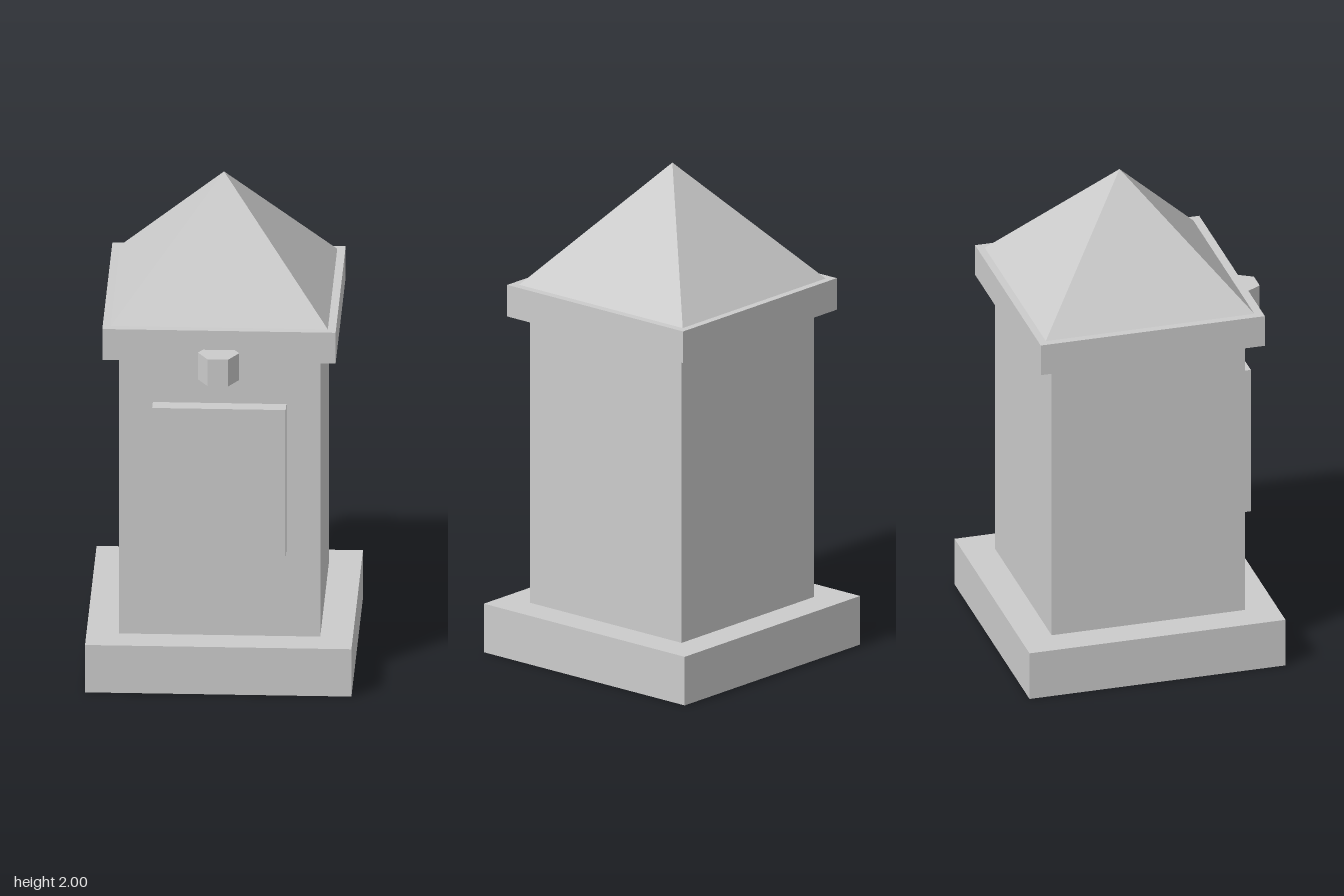
import * as THREE from 'three';

export function createModel() {
  const group = new THREE.Group();
  const material = new THREE.MeshStandardMaterial({ color: 0xcccccc, flatShading: true });
  const axisZ = -0.018; // centre line of the pillar

  const add = (name, geometry, x, y, z) => {
    const mesh = new THREE.Mesh(geometry, material);
    mesh.name = name;
    mesh.position.set(x, y, z);
    group.add(mesh);
    return mesh;
  };

  // Square slab centred on the pillar, from y0 to y1
  const slab = (name, width, y0, y1) =>
    add(name, new THREE.BoxGeometry(width, y1 - y0, width), 0, (y0 + y1) / 2, axisZ);

  slab('base', 1.046, 0, 0.2);
  slab('body', 0.79, 0.2, 1.38);
  slab('cap', 0.916, 1.38, 1.51);

  // Pyramid roof
  const roof = new THREE.ConeGeometry(0.426 * Math.SQRT2, 0.49, 4);
  roof.rotateY(Math.PI / 4);
  add('roof', roof, 0, 1.755, axisZ - 0.002);

  // Raised panel on the front face
  add('frontPanel', new THREE.BoxGeometry(0.524, 0.62, 0.07), 0, 0.87, 0.405);

  // Hexagonal lamp under the cap
  const lamp = new THREE.CylinderGeometry(0.081, 0.081, 0.113, 6);
  lamp.rotateY(Math.PI / 6);
  add('lamp', lamp, 0, 1.373, 0.471);

  return group;
}
